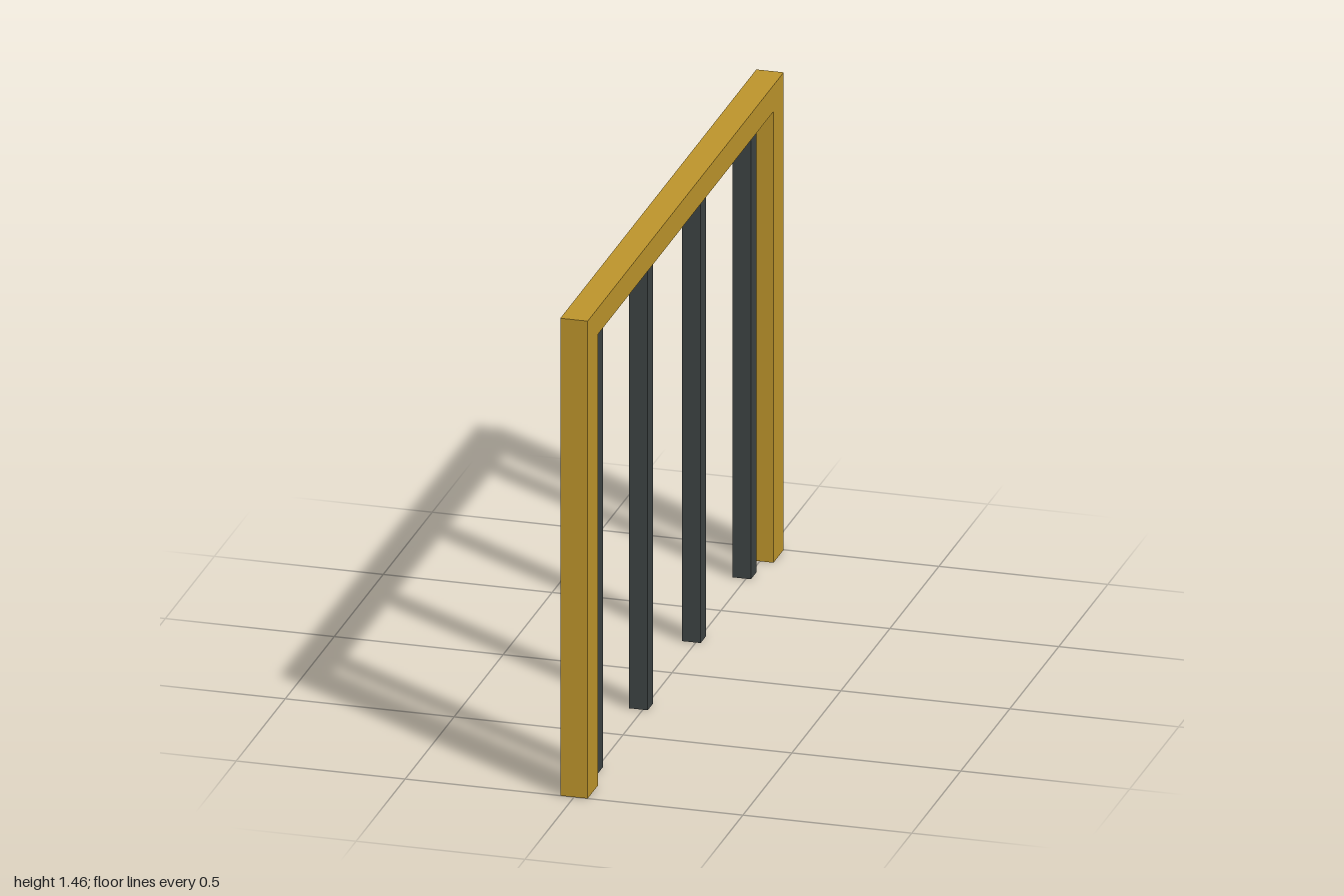
import * as THREE from 'three';

export function createModel() {
  const model = new THREE.Group();
  const gold = new THREE.MeshStandardMaterial({ color: 0xbb932b });
  gold.name = 'gold';
  const charcoal = new THREE.MeshStandardMaterial({ color: 0x3c4242 });
  charcoal.name = 'charcoal';

  const height = 1.46, beamBottom = 1.38, legWidth = 0.104, depth = 0.081;

  // Outer portal frame: one upside-down U, drawn along z and extruded along x
  const outline = new THREE.Shape([
    [-1, 0], [-1 + legWidth, 0], [-1 + legWidth, beamBottom], [1 - legWidth, beamBottom],
    [1 - legWidth, 0], [1, 0], [1, height], [-1, height],
  ].map(([u, v]) => new THREE.Vector2(u, v)));
  const frameGeometry = new THREE.ExtrudeGeometry(outline, { depth, bevelEnabled: false });
  frameGeometry.translate(0, 0, -depth / 2).rotateY(Math.PI / 2);
  const frame = new THREE.Mesh(frameGeometry, gold);
  frame.name = 'portalFrame';
  model.add(frame);

  // Four slim square posts, flush with the frame's -x face
  const postWidth = 0.055;
  const postGeometry = new THREE.BoxGeometry(postWidth, beamBottom, postWidth);
  const posts = new THREE.Group();
  posts.name = 'posts';
  [0.783, 0.27, -0.27, -0.783].forEach((z, i) => {
    const post = new THREE.Mesh(postGeometry, charcoal);
    post.name = `post${i + 1}`;
    post.position.set((postWidth - depth) / 2, beamBottom / 2, z);
    posts.add(post);
  });
  model.add(posts);

  return model;
}
